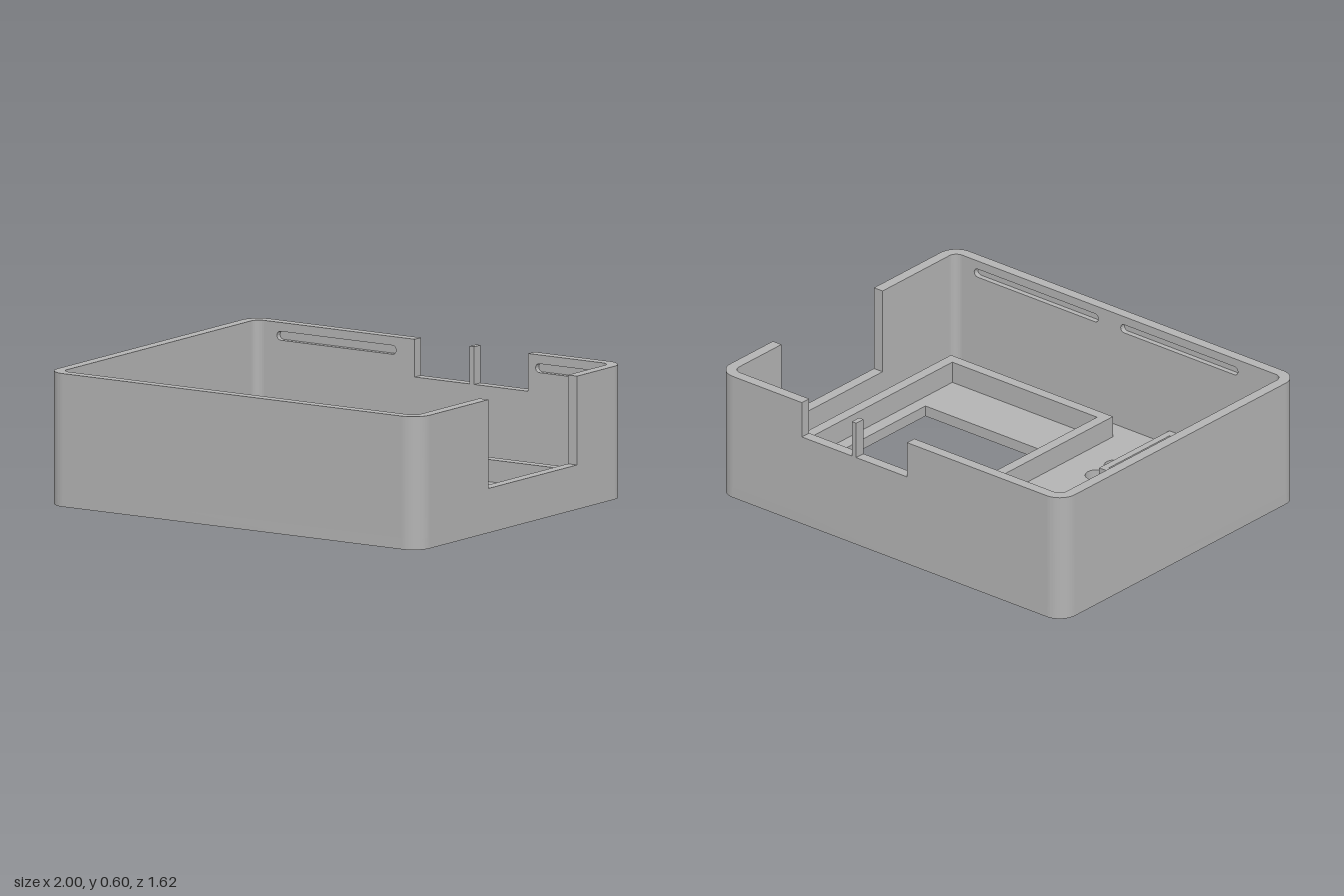
import * as THREE from 'three';
import { toCreasedNormals } from 'three/addons/utils/BufferGeometryUtils.js';

const X = 1, Z = 0.81, H = 0.6;      // outer half sizes and height
const T = 0.05, R = 0.09;            // wall thickness and corner radius
const FLOOR = 0.05;

const poly = (points) => new THREE.Shape(points.map(([a, b]) => new THREE.Vector2(a, b)));
const rect = (a0, b0, a1, b1) => poly([[a0, b0], [a1, b0], [a1, b1], [a0, b1]]);
const disc = (a, b, r) => new THREE.Shape().absarc(a, b, r, 0, Math.PI * 2, false);

// slot with round ends
function capsule(a0, a1, b, width) {
  const r = width / 2;
  const s = new THREE.Shape();
  s.absarc(a1 - r, b, r, -Math.PI / 2, Math.PI / 2, false);
  s.absarc(a0 + r, b, r, Math.PI / 2, Math.PI * 1.5, false);
  s.closePath();
  return s;
}

function roundedRect(hx, hz, r) {
  const s = new THREE.Shape();
  [[1, 1], [-1, 1], [-1, -1], [1, -1]].forEach(([sx, sz], i) =>
    s.absarc(sx * (hx - r), sz * (hz - r), r, i * Math.PI / 2, (i + 1) * Math.PI / 2, false));
  s.closePath();
  return s;
}

function extrude(shape, depth) {
  return new THREE.ExtrudeGeometry(shape, { depth, bevelEnabled: false, curveSegments: 14 });
}

// plan shape drawn in (x, z), raised from y0 to y1
function raise(shape, y0, y1) {
  return extrude(shape, y1 - y0).rotateX(Math.PI / 2).translate(0, y1, 0);
}

export function createModel() {
  const group = new THREE.Group();
  const grey = new THREE.MeshStandardMaterial({ color: 0xb3b3b3 });
  grey.name = 'grey plastic';

  function add(name, geometry) {
    const mesh = new THREE.Mesh(toCreasedNormals(geometry, 0.5), grey);
    mesh.name = name;
    group.add(mesh);
  }

  // floor with screen window, button holes and speaker slots
  const floor = roundedRect(X, Z, R);
  floor.holes.push(rect(0.06, -0.365, 0.78, 0.355));
  floor.holes.push(disc(-0.715, 0.165, 0.1));
  floor.holes.push(disc(-0.385, 0.22, 0.033));
  for (const z of [0.325, 0.455]) floor.holes.push(disc(-0.24, z, 0.052));
  [0.185, 0.215, 0.23, 0.238, 0.23, 0.215, 0.185].forEach((half, i) =>
    floor.holes.push(capsule(-0.54 - half, -0.54 + half, -0.347 + i * 0.051, 0.033)));
  add('floor', raise(floor, 0, FLOOR));

  // rounded corner posts
  [[1, 1], [-1, 1], [-1, -1], [1, -1]].forEach(([sx, sz], i) => {
    const a = i * Math.PI / 2, b = a + Math.PI / 2;
    const cx = sx * (X - R), cz = sz * (Z - R);
    const s = new THREE.Shape();
    s.absarc(cx, cz, R, a, b, false);
    s.absarc(cx, cz, R - T, b, a, true);
    s.closePath();
    add('corner', raise(s, FLOOR, H));
  });

  // front wall: solid outer skin, inner skin with two snap grooves
  const wx = X - R, wz = Z - R, half = T / 2, grooveY = 0.54;
  const frontPanel = () => rect(-wx, FLOOR, wx, H);
  add('frontWallOuter', extrude(frontPanel(), half).translate(0, 0, Z - half));
  const frontInner = frontPanel();
  frontInner.holes.push(capsule(-0.69, -0.01, grooveY, 0.04), capsule(0.12, 0.84, grooveY, 0.04));
  add('frontWallInner', extrude(frontInner, half).translate(0, 0, Z - T));

  // back wall: cut-out with a thin post standing in it
  const sill = 0.43;
  const backPanel = () => poly([
    [-wx, FLOOR], [wx, FLOOR], [wx, H], [0.51, H], [0.51, sill], [0.22, sill], [0.22, H],
    [0.195, H], [0.195, sill], [-0.1, sill], [-0.1, H], [-wx, H],
  ]);
  add('backWallOuter', extrude(backPanel(), half).translate(0, 0, -Z));
  const backInner = backPanel();
  backInner.holes.push(capsule(-0.84, -0.2, grooveY, 0.04), capsule(0.55, 0.85, grooveY, 0.04));
  add('backWallInner', extrude(backInner, half).translate(0, 0, -Z + half));

  // side walls, drawn in (-z, y); the one at +x has a deep notch
  const notched = poly([
    [-wz, FLOOR], [wz, FLOOR], [wz, H], [0.43, H], [0.43, 0.2], [-0.262, 0.2], [-0.262, H], [-wz, H],
  ]);
  add('notchedSideWall', extrude(notched, T).rotateY(Math.PI / 2).translate(X - T, 0, 0));
  add('plainSideWall', extrude(rect(-wz, FLOOR, wz, H), T).rotateY(Math.PI / 2).translate(-X, 0, 0));

  // raised frame around the screen
  const frame = rect(-0.05, -0.59, 0.89, 0.66);
  frame.holes.push(rect(0, -0.54, 0.84, 0.61));
  add('screenFrame', raise(frame, FLOOR, 0.15));

  // collar around the large round hole
  const collar = disc(-0.715, 0.165, 0.12);
  collar.holes.push(disc(-0.715, 0.165, 0.1));
  add('holeCollar', raise(collar, FLOOR, 0.12));

  // open-backed tray in the front corner
  const tray = poly([
    [-0.94, 0.28], [-0.78, 0.28], [-0.78, 0.305], [-0.905, 0.305], [-0.905, 0.725], [-0.325, 0.725],
    [-0.325, 0.305], [-0.45, 0.305], [-0.45, 0.28], [-0.292, 0.28], [-0.292, 0.76], [-0.94, 0.76],
  ]);
  add('cornerTray', raise(tray, FLOOR, 0.12));

  return group;
}
